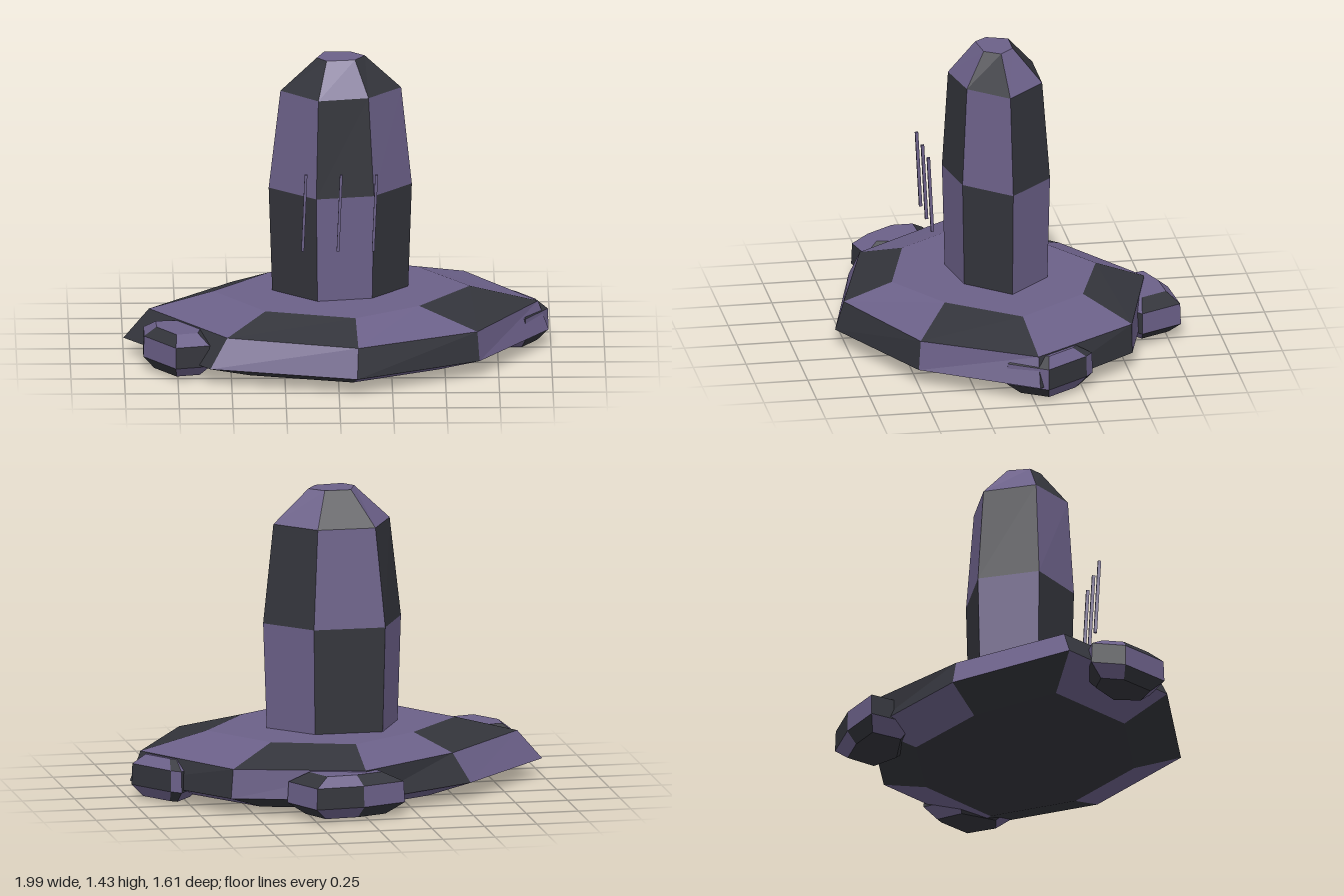
import * as THREE from 'three';

const purple = new THREE.MeshStandardMaterial({ color: 0x6b6088, flatShading: true });
const dark = new THREE.MeshStandardMaterial({ color: 0x33343b, flatShading: true });

// Faceted solid from stacked rings of [x, z] corners, panels alternating between two materials.
function facetedSolid(name, heights, rings, parity = 0) {
  const faces = [[], []];
  const ring = rings.map((r, j) => r.map(([x, z]) => [x, heights[j], z]));
  const n = ring[0].length;
  const put = (m, ...points) => points.forEach(p => faces[m].push(...p));
  for (let j = 0; j < ring.length - 1; j++) {
    for (let i = 0; i < n; i++) {
      const k = (i + 1) % n;
      const a = ring[j][i], b = ring[j][k], c = ring[j + 1][k], d = ring[j + 1][i];
      put((i + j + parity) % 2, a, b, c, a, c, d);
    }
  }
  // End caps
  const bottom = ring[0], top = ring[ring.length - 1];
  for (let i = 1; i < n - 1; i++) {
    put(0, top[0], top[i], top[i + 1]);
    put(1, bottom[0], bottom[i + 1], bottom[i]);
  }
  const geometry = new THREE.BufferGeometry();
  geometry.setAttribute('position', new THREE.Float32BufferAttribute(faces.flat(), 3));
  const split = faces[0].length / 3;
  geometry.addGroup(0, split, 0);
  geometry.addGroup(split, faces[1].length / 3, 1);
  geometry.computeVertexNormals();
  const mesh = new THREE.Mesh(geometry, [purple, dark]);
  mesh.name = name;
  return mesh;
}

// Shrink an outline towards its own centre.
function scaled(outline, s) {
  const cx = outline.reduce((t, p) => t + p[0], 0) / outline.length;
  const cz = outline.reduce((t, p) => t + p[1], 0) / outline.length;
  return outline.map(([x, z]) => [cx + (x - cx) * s, cz + (z - cz) * s]);
}

export function createModel() {
  const model = new THREE.Group();
  model.name = 'rockTower';

  // Broad eight-sided base slab
  const rim = [[-1, 0.09], [-0.6, 0.62], [0.085, 0.8], [0.66, 0.5],
    [0.99, -0.02], [0.61, -0.52], [0, -0.69], [-0.56, -0.39]];
  const shoulder = [[-0.88, 0.085], [-0.52, 0.58], [0.09, 0.76], [0.65, 0.49],
    [0.94, -0.02], [0.6, -0.52], [0, -0.68], [-0.48, -0.36]];
  const plateau = [[-0.58, 0.07], [-0.34, 0.41], [0.08, 0.53], [0.38, 0.33],
    [0.62, 0], [0.38, -0.325], [0, -0.45], [-0.32, -0.23]];
  model.add(facetedSolid('base', [0, 0.08, 0.22, 0.3],
    [scaled(rim, 0.7), rim, shoulder, plateau]));

  // Six-sided tapering tower
  const waist = [[-0.32, 0.06], [-0.1, 0.262], [0.17, 0.21],
    [0.35, 0], [0.15, -0.208], [-0.19, -0.208]];
  const brow = [[-0.265, 0.055], [-0.09, 0.235], [0.145, 0.185],
    [0.3, 0.005], [0.125, -0.175], [-0.15, -0.175]];
  const crown = [[-0.095, 0.055], [-0.05, 0.113], [0.083, 0.095],
    [0.13, 0.02], [0.065, -0.045], [-0.06, -0.045]];
  model.add(facetedSolid('tower', [0.3, 0.8, 1.27, 1.43],
    [scaled(waist, 0.95), waist, brow, crown], 1));

  // Boulders set into the rim
  const boulders = {
    backBoulder: [[-0.18, -0.71], [-0.1, -0.5], [0.2, -0.48],
      [0.36, -0.61], [0.26, -0.81], [0.03, -0.79]],
    frontRightBoulder: [[-0.91, 0.21], [-0.91, 0.37], [-0.76, 0.58],
      [-0.6, 0.54], [-0.57, 0.36], [-0.75, 0.2]],
    leftBoulder: [[0.8, -0.3], [0.68, -0.15], [0.75, 0.1],
      [0.88, 0.12], [0.99, -0.06], [0.845, -0.265]],
  };
  for (const [name, outline] of Object.entries(boulders)) {
    model.add(facetedSolid(name, [0.015, 0.07, 0.17, 0.215],
      [scaled(outline, 0.68), outline, scaled(outline, 0.98), scaled(outline, 0.62)]));
  }

  // Three thin slivers floating in front of the tower
  const up = new THREE.Vector3(0, 1, 0);
  for (const x of [-0.165, 0, 0.165]) {
    const low = new THREE.Vector3(x, 0.575, 0.352);
    const high = new THREE.Vector3(x + 0.015, 0.952, 0.374);
    const axis = high.clone().sub(low);
    const sliver = new THREE.Mesh(new THREE.BoxGeometry(0.013, axis.length(), 0.015), purple);
    sliver.name = 'sliver';
    sliver.position.copy(low).add(high).multiplyScalar(0.5);
    sliver.quaternion.setFromUnitVectors(up, axis.normalize());
    model.add(sliver);
  }
  return model;
}
